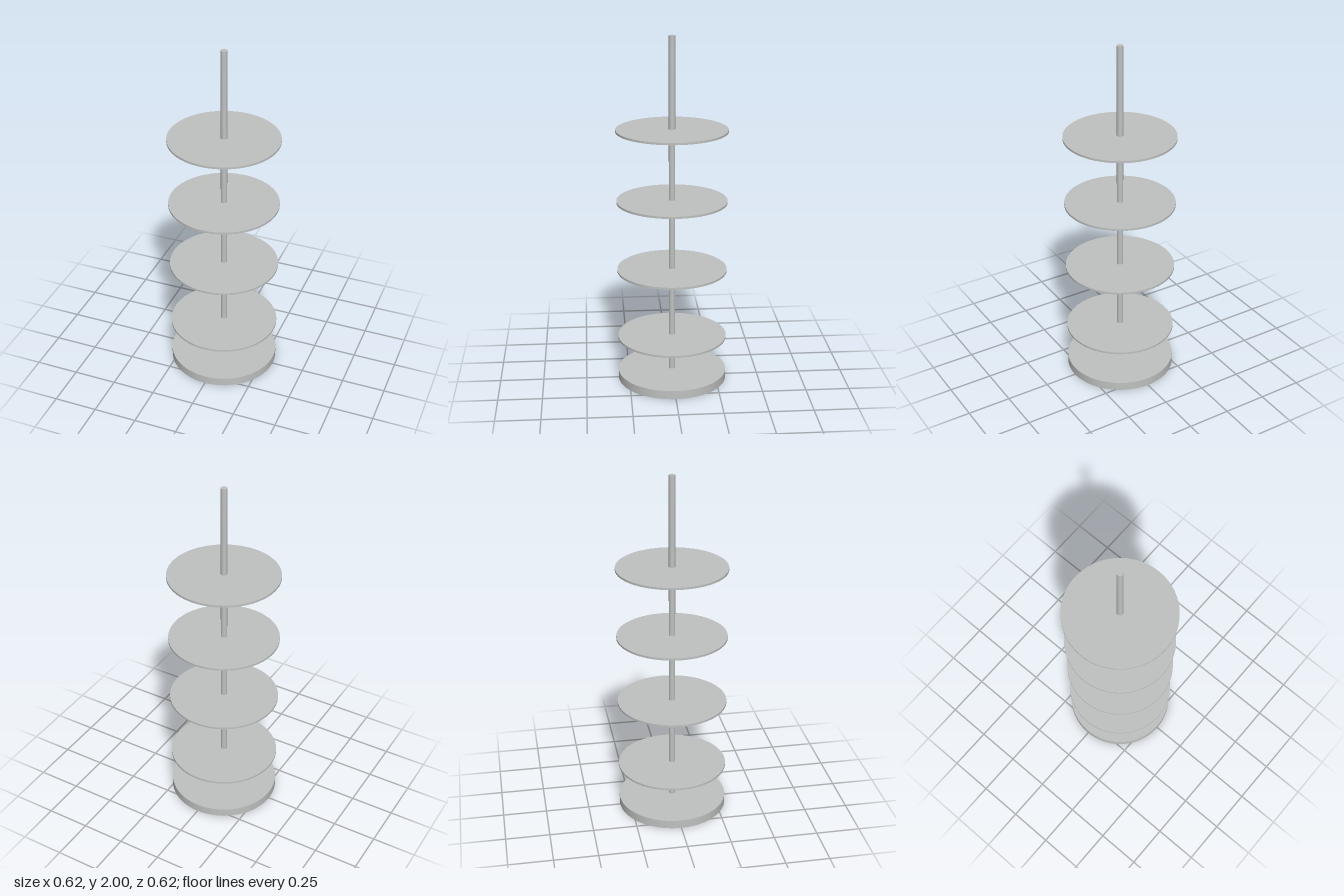
import * as THREE from 'three';

const RADIUS = 0.312;
const POLE_RADIUS = 0.018;
const BASE_HEIGHT = 0.05;
const SHELF_THICKNESS = 0.012;

export function createModel() {
  const model = new THREE.Group();
  model.name = 'tieredStand';
  const metal = new THREE.MeshStandardMaterial({ color: 0xc0c2c1 });
  metal.name = 'light grey metal';

  // Upright disc or rod, placed by the height of its underside
  const addCylinder = (name, radius, height, bottom, sides) => {
    const mesh = new THREE.Mesh(new THREE.CylinderGeometry(radius, radius, height, sides), metal);
    mesh.name = name;
    mesh.position.y = bottom + height / 2;
    model.add(mesh);
  };

  // Heavy round foot and the central pole
  addCylinder('base', RADIUS, BASE_HEIGHT, 0, 96);
  addCylinder('pole', POLE_RADIUS, 2 - BASE_HEIGHT, BASE_HEIGHT, 48);

  // Four evenly spaced round shelves
  for (let i = 0; i < 4; i++) {
    const centre = 0.26 + i * 0.406;
    addCylinder(`shelf${i + 1}`, RADIUS, SHELF_THICKNESS, centre - SHELF_THICKNESS / 2, 96);
  }

  return model;
}
